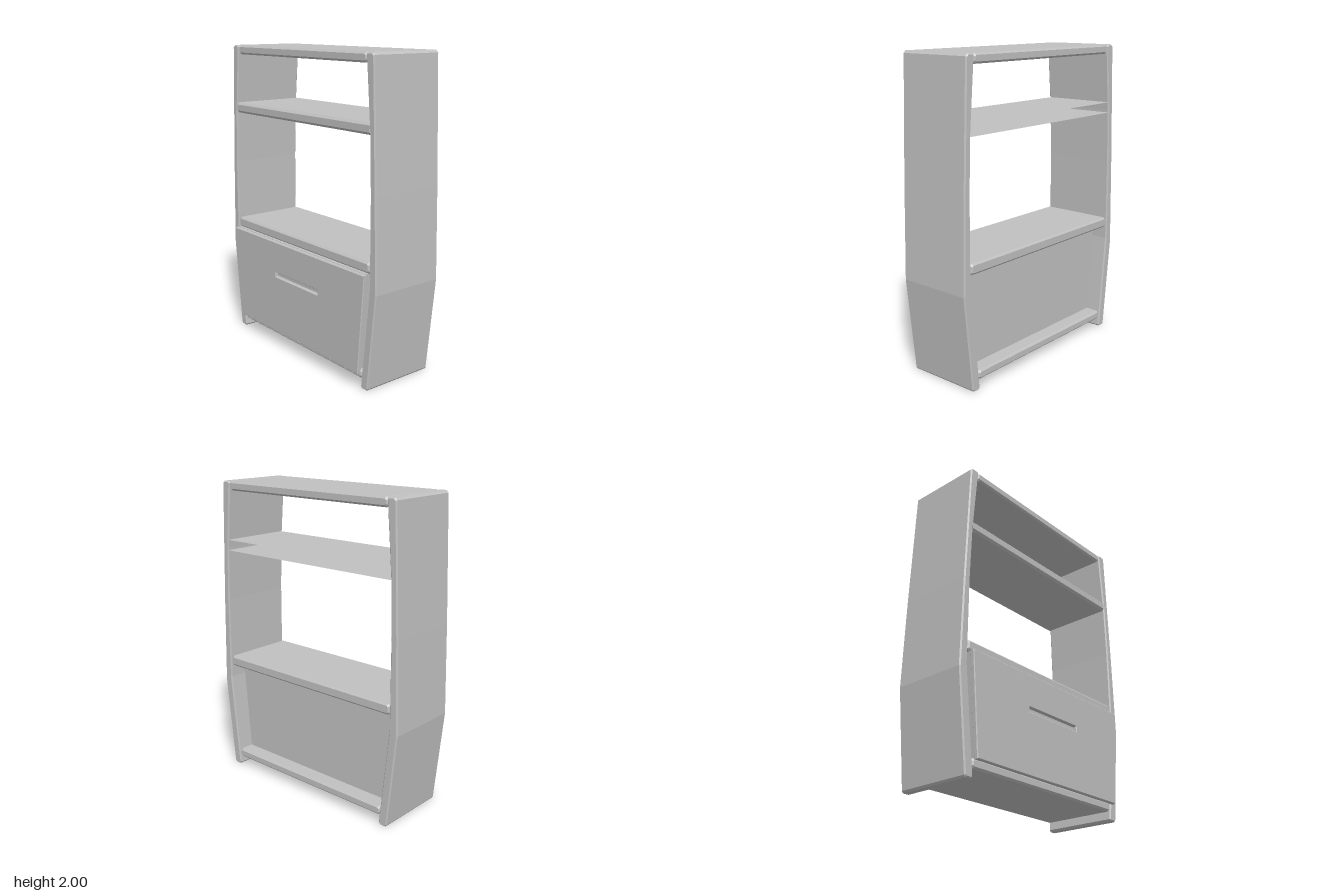
import * as THREE from 'three';

export function createModel() {
  const group = new THREE.Group();
  group.name = 'shelfUnit';
  const grey = new THREE.MeshStandardMaterial({ color: 0xc0c0c0 });
  grey.name = 'grey';
  const greyOpen = grey.clone();
  greyOpen.side = THREE.DoubleSide;

  const add = (name, geometry, material = grey) => {
    const mesh = new THREE.Mesh(geometry, material);
    mesh.name = name;
    group.add(mesh);
    return mesh;
  };

  // Front outline extruded from z0 to z1 with a chamfer inside the outline
  const slab = (points, z0, z1, bevel, hole) => {
    const shape = new THREE.Shape(points.map(([x, y]) => new THREE.Vector2(x, y)));
    if (hole) shape.holes.push(new THREE.Path(hole.map(([x, y]) => new THREE.Vector2(x, y))));
    const geometry = new THREE.ExtrudeGeometry(shape, {
      depth: z1 - z0 - 2 * bevel, bevelEnabled: bevel > 0, bevelThickness: bevel,
      bevelSize: bevel, bevelOffset: -bevel, bevelSegments: 1,
    });
    return geometry.translate(0, 0, z0 + bevel);
  };

  const back = -0.27, front = 0.235;

  // Bowed side panels, mirrored
  const sideOutline = [
    [0.64, 0], [0.68, 0], [0.69, 0.012], [0.755, 0.62], [0.74, 1.2], [0.711, 1.985], [0.697, 2],
    [0.655, 2], [0.645, 1.988], [0.68, 1.56], [0.692, 1.2], [0.695, 0.65], [0.628, 0.012],
  ];
  for (const [name, s] of [['leftSide', 1], ['rightSide', -1]]) {
    add(name, slab(sideOutline.map(([x, y]) => [s * x, y]), back, front, 0.008));
  }

  // Boards with chamfered ends and edges
  const board = (name, half, y0, y1) => {
    const c = 0.014;
    add(name, slab([
      [-half + c, y0], [half - c, y0], [half, y0 + c], [half, y1 - c],
      [half - c, y1], [-half + c, y1], [-half, y1 - c], [-half, y0 + c],
    ], back + 0.003, front - 0.003, 0.012));
  };
  board('topBoard', 0.647, 1.94, 2);
  board('middleShelf', 0.69, 0.735, 0.805);
  board('bottomBoard', 0.635, 0.06, 0.12);

  // Upper shelf: a folded sheet, open at the back
  const profile = [
    [back, 1.615], [0.218, 1.615], [0.232, 1.6], [0.232, 1.56], [0.218, 1.545], [back, 1.545],
  ];
  const half = 0.68, positions = [];
  for (let i = 0; i < profile.length - 1; i++) {
    const [za, ya] = profile[i], [zb, yb] = profile[i + 1];
    positions.push(-half, ya, za, -half, yb, zb, half, yb, zb);
    positions.push(-half, ya, za, half, yb, zb, half, ya, za);
  }
  const sheet = new THREE.BufferGeometry();
  sheet.setAttribute('position', new THREE.Float32BufferAttribute(positions, 3));
  sheet.computeVertexNormals();
  add('upperShelf', sheet, greyOpen);

  // Drawer body
  add('drawerBody', slab(
    [[-0.618, 0.118], [0.618, 0.118], [0.672, 0.737], [-0.672, 0.737]], -0.17, 0.246, 0));

  // Drawer front with a slot for the hand
  add('drawerFront', slab(
    [[-0.633, 0.105], [0.64, 0.105], [0.69, 0.735], [-0.685, 0.735]], 0.24, 0.27, 0.005,
    [[-0.2, 0.495], [0.25, 0.495], [0.25, 0.525], [-0.2, 0.525]]));

  return group;
}
